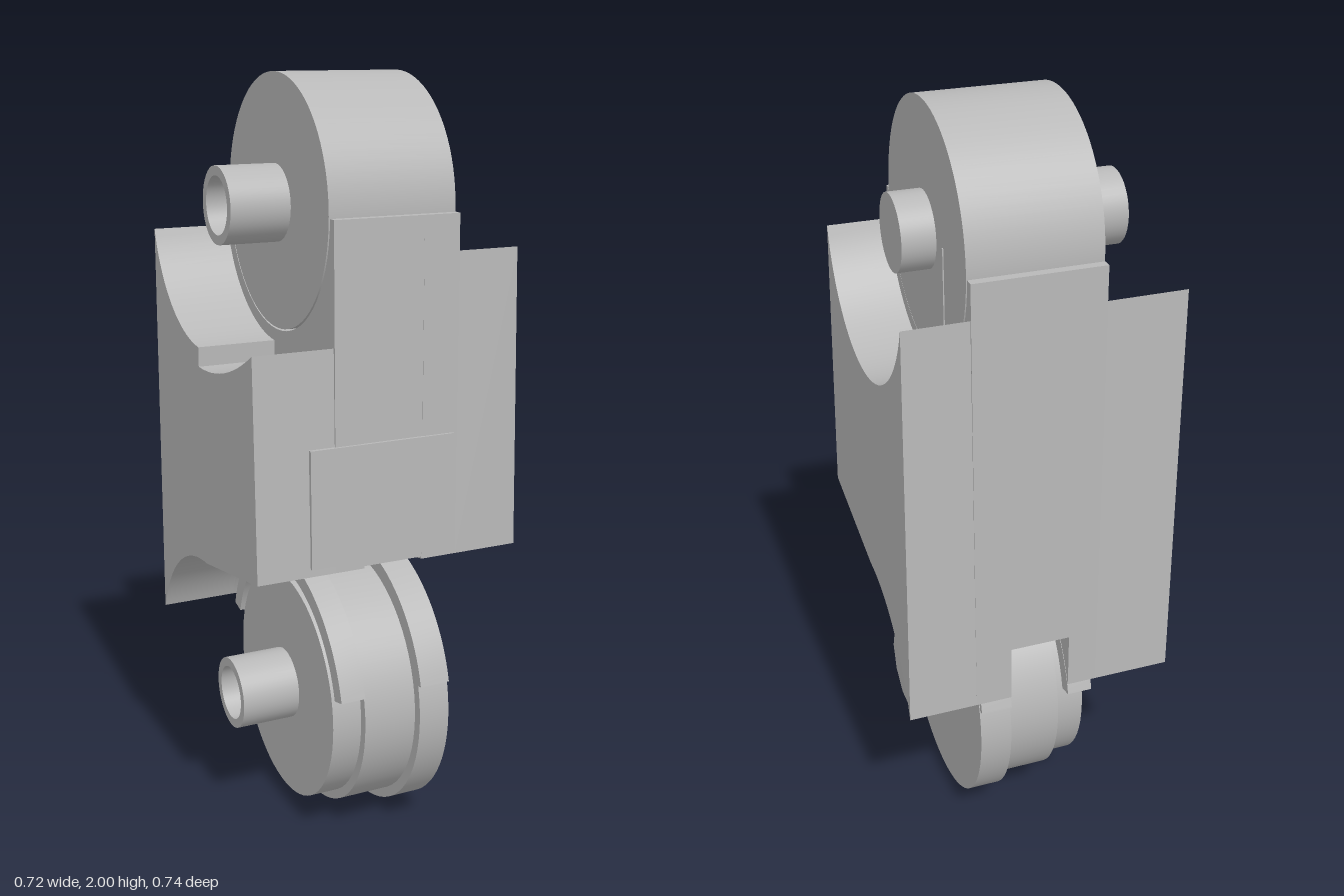
import * as THREE from 'three';
import { toCreasedNormals } from 'three/addons/utils/BufferGeometryUtils.js';

const TOP = 1.685, LOW = 0.37; // axle heights

// Points [z, y] along an arc centred on z = 0
function arc(cy, r, t0, t1, n = 32) {
  return Array.from({ length: n + 1 }, (_, i) => {
    const t = t0 + (t1 - t0) * i / n;
    return [r * Math.cos(t), cy + r * Math.sin(t)];
  });
}

// Extrude a [z, y] outline across the width from x0 to x1
function slab(points, x0, x1) {
  const shape = new THREE.Shape(points.map(p => new THREE.Vector2(...p)));
  const g = new THREE.ExtrudeGeometry(shape, { depth: x1 - x0, bevelEnabled: false });
  g.rotateY(-Math.PI / 2);
  g.translate(x1, 0, 0);
  return g;
}

export function createModel() {
  const group = new THREE.Group();
  const grey = new THREE.MeshStandardMaterial({ color: 0xb8b8b8 });
  grey.name = 'grey';

  const add = (name, geometry, x = 0, y = 0, z = 0) => {
    const mesh = new THREE.Mesh(geometry, grey);
    mesh.name = name;
    mesh.position.set(x, y, z);
    group.add(mesh);
    return mesh;
  };
  const crease = g => toCreasedNormals(g, 0.4);

  // Solid cylinder lying along x
  const disc = (name, r, x0, x1, y, sides = 64) => {
    const g = new THREE.CylinderGeometry(r, r, x1 - x0, sides);
    g.rotateZ(Math.PI / 2);
    return add(name, g, (x0 + x1) / 2, y);
  };

  // Pin along x with a bored end on the -x side
  const pin = (name, x0, x1, y) => {
    const r = 0.097, bore = 0.073;
    const profile = [[0, x1], [r, x1], [r, x0], [bore, x0], [bore, x0 + 0.14], [0, x0 + 0.14]];
    const g = new THREE.LatheGeometry(profile.map(p => new THREE.Vector2(...p)).reverse(), 40);
    g.rotateZ(-Math.PI / 2);
    add(name, crease(g), 0, y);
  };

  // Body outlines: front edge, upper saddle, back edge, lower saddle
  const a = Math.acos(0.342 / 0.355);
  const wideSaddle = arc(TOP, 0.355, -a, -Math.PI + a);
  const closeSaddle = [[0.343, 1.68], ...arc(TOP, 0.322, -0.015, -Math.PI + 0.015), [-0.345, 1.68]];
  const steppedSaddle = [
    ...Array.from({ length: 13 }, (_, i) => {
      const z = 0.342 - 0.362 * i / 12;
      return [z, 1.28 + 0.1 * (z / 0.342) ** 2];
    }),
    ...arc(TOP, 0.355, -Math.PI / 2 - 0.056, -Math.PI + a, 20),
  ];
  const lowerArch = arc(LOW, 0.385, Math.PI - 0.345, Math.PI / 2, 24);
  const slotArch = [[-0.363, 0.655], [-0.26, 0.7], [-0.15, 0.77], [0, 0.79], [0.355, 0.825]];
  const outline = (upper, lower) => [[0.357, 0.82], ...upper, [-0.365, 0.5], ...lower];
  const slotted = [...closeSaddle, ...slotArch];

  add('bodyRight', crease(slab(outline(steppedSaddle, lowerArch), -0.365, -0.157)));
  add('bodyCentreRight', crease(slab(outline(closeSaddle, lowerArch), -0.157, -0.08)));
  add('bodyCentreSlot', crease(slab(slotted, -0.08, 0.08)));
  add('bodyCentreLeft', crease(slab(outline(closeSaddle, lowerArch), 0.08, 0.176)));

  // The left wall leans inward towards the top
  const left = slab(outline(wideSaddle, lowerArch), 0.176, 0.357);
  const p = left.attributes.position;
  for (let i = 0; i < p.count; i++) {
    if (p.getX(i) > 0.3) p.setX(i, 0.357 - (p.getY(i) - 0.5) * 0.0157);
  }
  left.computeVertexNormals();
  add('bodyLeft', crease(left));

  // Raised panel following the slope of the front face
  const panel = add('frontPanel', new THREE.BoxGeometry(0.39, 0.3, 0.016), -0.03, 0.99, 0.354);
  panel.rotation.x = -0.018;

  // Upper roller on its pin
  disc('upperRoller', 0.317, -0.158, 0.177, TOP, 80);
  pin('upperPin', -0.315, 0.262, TOP);
  add('upperSeam', new THREE.BoxGeometry(0.006, 0.33, 0.006), 0.177, 1.525, -0.148);

  // Lower roller: three stacked discs of growing size
  disc('lowerDiscSmall', 0.315, -0.145, -0.065, LOW);
  disc('lowerDiscMiddle', 0.34, -0.065, 0.08, LOW);
  disc('lowerDiscLarge', 0.367, 0.08, 0.165, LOW, 80);
  pin('lowerPin', -0.305, 0.17, LOW);
  add('lowerSeam', new THREE.BoxGeometry(0.008, 0.36, 0.03), 0.165, 0.55, -0.145);

  // Curved guards over the lower roller
  const t = 0.262;
  for (const [name, x0, x1] of [['guardRight', -0.147, -0.08], ['guardLeft', 0.08, 0.163]]) {
    const ring = [...arc(LOW, 0.382, t, Math.PI - t, 40), ...arc(LOW, 0.34, Math.PI - t, t, 40)];
    add(name, crease(slab(ring, x0, x1)));
  }

  // Faceted nut with a chamfered inner edge
  const nut = new THREE.LatheGeometry(
    [[0, 0.165], [0.115, 0.165], [0.127, 0.185], [0.127, 0.25], [0.118, 0.27], [0, 0.27]]
      .map(q => new THREE.Vector2(...q)), 10);
  nut.rotateZ(-Math.PI / 2);
  add('nut', toCreasedNormals(nut, 0.1), 0, LOW);

  return group;
}
